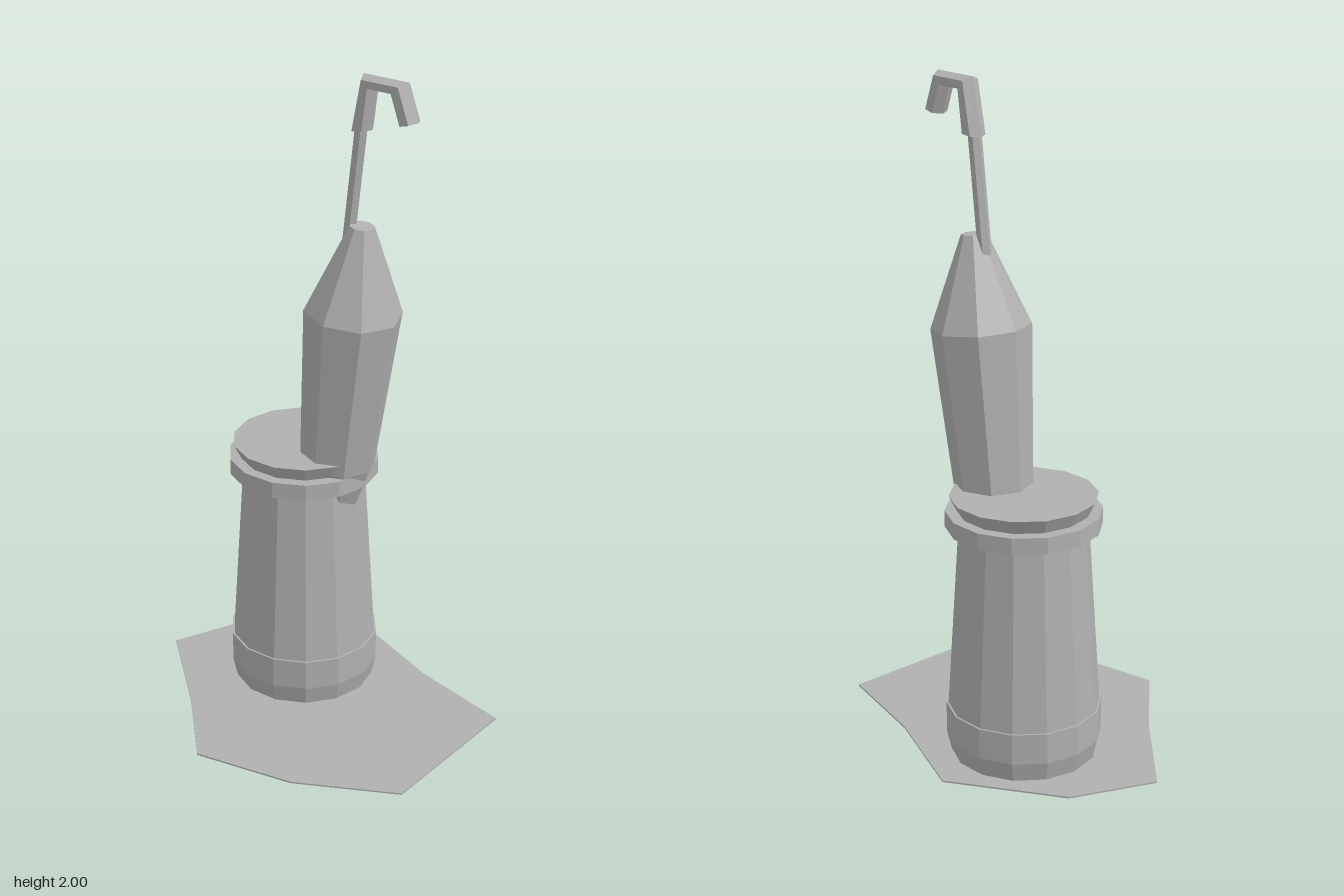
import * as THREE from 'three';

const CZ = -0.135; // depth of the upright parts

export function createModel() {
  const model = new THREE.Group();
  const grey = new THREE.MeshStandardMaterial({ color: 0xb0b0b0, flatShading: true });
  grey.name = 'grey';

  const add = (name, geometry, x = 0, y = 0, z = 0) => {
    const mesh = new THREE.Mesh(geometry, grey);
    mesh.name = name;
    mesh.position.set(x, y, z);
    model.add(mesh);
    return mesh;
  };
  // faceted solid of revolution, profile [radius, height] from bottom to top
  const turned = (profile, sides) => new THREE.LatheGeometry(
    profile.map(([r, y]) => new THREE.Vector2(r, y)), sides, Math.PI / 2);

  // thin irregular ground patch, outline as [x, z]
  const outline = [[-0.54, 0], [-0.43, -0.25], [-0.11, -0.455], [0.22, -0.325], [0.54, -0.25],
    [0.53, 0.245], [0.235, 0.395], [-0.075, 0.45], [-0.28, 0.235]];
  const patch = new THREE.ExtrudeGeometry(
    new THREE.Shape(outline.map(([x, z]) => new THREE.Vector2(x, -z))),
    { depth: 0.005, bevelEnabled: false });
  patch.rotateX(-Math.PI / 2);
  add('groundPatch', patch);

  // tapered barrel with foot band, collar and flared lid
  const bx = -0.115;
  add('barrelFoot', turned([[0, 0.004], [0.218, 0.004], [0.232, 0.065], [0.232, 0.16], [0, 0.16]], 14), bx, 0, CZ);
  add('barrelBody', turned([[0.226, 0.16], [0.19, 0.73]], 14), bx, 0, CZ);
  add('barrelCollar', turned([[0.18, 0.725], [0.23, 0.725], [0.23, 0.775], [0.18, 0.775]], 14), bx, 0, CZ);
  add('barrelLid', turned([[0.195, 0.774], [0.218, 0.82], [0, 0.82]], 14), bx, 0, CZ);

  // leaning closed canopy, pivoting at its widest ring
  const canopy = add('canopy', turned(
    [[0, -0.74], [0.05, -0.74], [0.115, -0.5], [0.147, 0], [0.037, 0.27], [0, 0.27]], 8), 0.065, 1.285, CZ);
  canopy.rotation.z = -0.104;

  // thin rod
  const start = new THREE.Vector3(0.032, 1.38, CZ);
  const end = new THREE.Vector3(0.088, 1.86, CZ);
  const dir = end.clone().sub(start);
  const rod = add('rod', new THREE.CylinderGeometry(0.02, 0.02, dir.length(), 6, 1, false, Math.PI / 2));
  rod.position.copy(start).add(end).multiplyScalar(0.5);
  rod.quaternion.setFromUnitVectors(new THREE.Vector3(0, 1, 0), dir.normalize());

  // hooked handle: each section is [outer x, outer y, inner x, inner y]
  add('hookHandle', hexSweep([
    [0.056, 1.835, 0.124, 1.843],
    [0.093, 2.0, 0.134, 1.957],
    [0.238, 2.0, 0.192, 1.957],
    [0.278, 1.892, 0.22, 1.877],
  ], 0.029), 0, 0, CZ);

  return model;
}

// closed hexagonal bar through cross-sections lying in the xy plane
function hexSweep(sections, halfWidth) {
  const ring = [[1, 0], [0.75, 1], [0.25, 1], [0, 0], [0.25, -1], [0.75, -1]];
  const positions = [];
  const index = [];
  for (const [ox, oy, ix, iy] of sections) {
    for (const [t, s] of ring) {
      positions.push(ix + (ox - ix) * t, iy + (oy - iy) * t, s * halfWidth);
    }
  }
  const last = (sections.length - 1) * 6;
  for (let k = 0; k < last; k += 6) {
    for (let i = 0; i < 6; i++) {
      const a = k + i, b = k + (i + 1) % 6;
      index.push(a, b, b + 6, a, b + 6, a + 6);
    }
  }
  for (let i = 1; i < 5; i++) {
    index.push(0, i + 1, i, last, last + i, last + i + 1);
  }
  const geometry = new THREE.BufferGeometry();
  geometry.setAttribute('position', new THREE.Float32BufferAttribute(positions, 3));
  geometry.setIndex(index);
  geometry.computeVertexNormals();
  return geometry;
}
